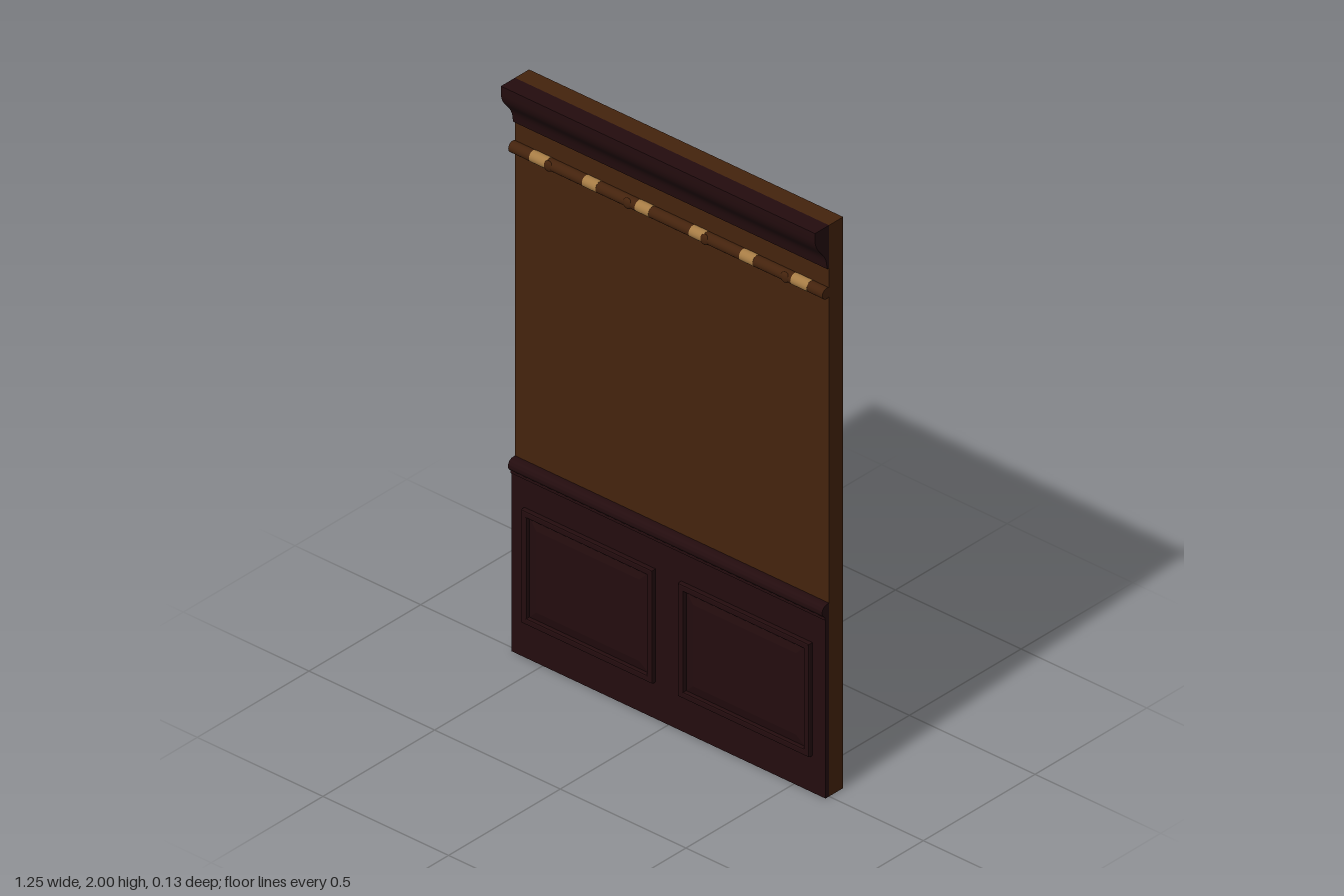
import * as THREE from 'three';
import { toCreasedNormals } from 'three/addons/utils/BufferGeometryUtils.js';

const W = 1.25; // full width

export function createModel() {
  const group = new THREE.Group();
  const mat = (name, color) => {
    const m = new THREE.MeshStandardMaterial({ color });
    m.name = name;
    return m;
  };
  const wood = mat('brown wood', 0x44230d);
  const darkWood = mat('dark wood', 0x230c0e);
  const brass = mat('brass', 0xa67c45);

  const add = (name, geometry, material, x = 0, y = 0, z = 0, parent = group) => {
    const mesh = new THREE.Mesh(geometry, material);
    mesh.name = name;
    mesh.position.set(x, y, z);
    parent.add(mesh);
    return mesh;
  };

  // Sweep a (z, y) profile across the full width
  const moulding = (name, shape) => {
    const g = new THREE.ExtrudeGeometry(shape, { depth: W, bevelEnabled: false, curveSegments: 10 });
    g.rotateY(-Math.PI / 2);
    g.translate(W / 2, 0, 0);
    add(name, toCreasedNormals(g, 0.6), darkWood);
  };

  // Rectangular ring or solid rectangle, centred, with a sloped edge
  const rect = (Type, w, h) => {
    const s = new Type();
    s.moveTo(-w / 2, -h / 2);
    s.lineTo(w / 2, -h / 2);
    s.lineTo(w / 2, h / 2);
    s.lineTo(-w / 2, h / 2);
    s.closePath();
    return s;
  };

  // Wall slab
  add('wallSlab', new THREE.BoxGeometry(W, 2, 0.063), wood, 0, 1, -0.0315);

  // Crown moulding
  const crown = new THREE.Shape();
  crown.moveTo(0, 1.85);
  crown.lineTo(0.008, 1.85);
  crown.lineTo(0.012, 1.875);
  crown.bezierCurveTo(0.02, 1.915, 0.058, 1.925, 0.063, 1.97);
  crown.lineTo(0.063, 2);
  crown.lineTo(0, 2);
  moulding('crownMoulding', crown);

  // Wainscot board and rounded rail above it
  add('wainscotBoard', new THREE.BoxGeometry(W, 0.64, 0.016), darkWood, 0, 0.32, 0.008);
  const rail = new THREE.Shape();
  rail.moveTo(0, 0.625);
  rail.lineTo(0.019, 0.625);
  rail.lineTo(0.019, 0.633);
  rail.absarc(0.009, 0.655, 0.022, -1.1, Math.PI / 2, false);
  rail.lineTo(0, 0.677);
  moulding('wainscotRail', rail);

  // Two framed panels, each with a bevelled raised field
  for (const side of [-1, 1]) {
    const panel = new THREE.Group();
    panel.name = side > 0 ? 'leftPanel' : 'rightPanel';
    panel.position.set(side * 0.312, 0.327, 0.012);
    group.add(panel);

    const ring = rect(THREE.Shape, 0.514, 0.388);
    ring.holes.push(rect(THREE.Path, 0.486, 0.36));
    add('panelFrame', new THREE.ExtrudeGeometry(ring, {
      depth: 0.015, bevelThickness: 0.006, bevelSize: 0.004, bevelSegments: 2,
    }), darkWood, 0, 0, 0, panel);

    add('raisedField', new THREE.ExtrudeGeometry(rect(THREE.Shape, 0.41, 0.285), {
      depth: 0.004, bevelThickness: 0.007, bevelSize: 0.032, bevelSegments: 1,
    }), darkWood, 0, 0, 0.004, panel);
  }

  // Peg rail near the top
  const rod = (r, length) => new THREE.CylinderGeometry(r, r, length, 20).rotateZ(Math.PI / 2);
  add('pegRail', rod(0.019, W), wood, 0, 1.766, 0.011);

  // Brass bands spaced along the rail
  for (const x of [-0.51, -0.305, -0.095, 0.12, 0.32, 0.53]) {
    add('brassBand', rod(0.0195, x === -0.51 || x === 0.53 ? 0.065 : 0.054), brass, x, 1.766, 0.011);
  }

  // Small round studs beside the bands
  for (const x of [-0.47, -0.155, 0.152, 0.472]) {
    add('stud', new THREE.SphereGeometry(0.018, 16, 10).scale(1, 1, 0.5), wood, x, 1.766, 0.024);
  }

  return group;
}
